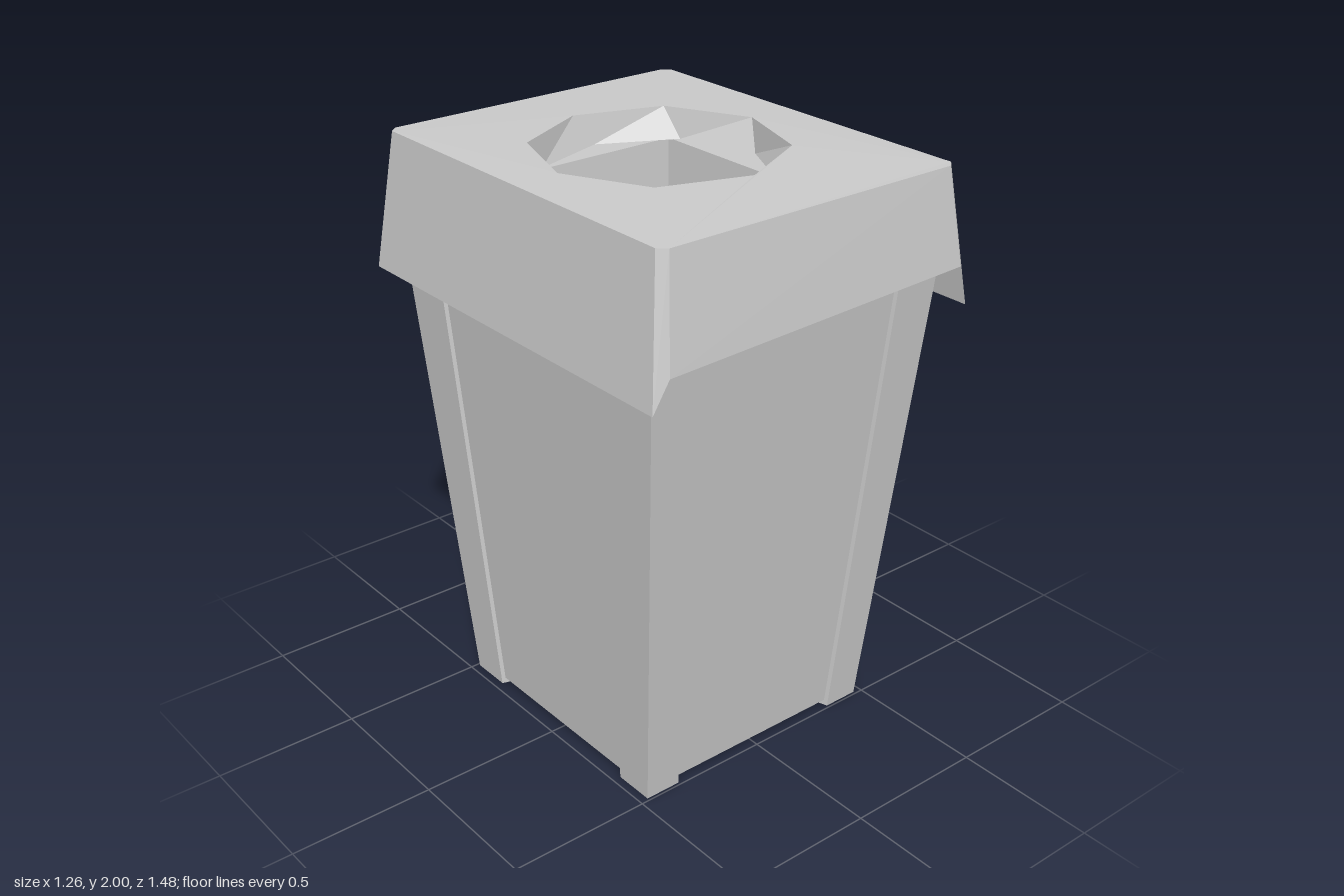
import * as THREE from 'three';

const material = new THREE.MeshStandardMaterial({ color: 0xcccccc, flatShading: true, side: THREE.DoubleSide });

// Skins closed rings of [x, y, z] points; optionally caps the first and last ring with a fan.
function loft(rings, capStart = false, capEnd = false) {
  const out = [];
  const tri = (a, b, c) => out.push(...a, ...b, ...c);
  for (let r = 0; r < rings.length - 1; r++) {
    const a = rings[r], b = rings[r + 1], n = a.length;
    for (let i = 0; i < n; i++) {
      const j = (i + 1) % n;
      tri(a[i], a[j], b[j]);
      tri(a[i], b[j], b[i]);
    }
  }
  const first = rings[0], last = rings[rings.length - 1];
  for (let i = 1; i < first.length - 1; i++) {
    if (capStart) tri(first[0], first[i + 1], first[i]);
    if (capEnd) tri(last[0], last[i], last[i + 1]);
  }
  const geometry = new THREE.BufferGeometry();
  geometry.setAttribute('position', new THREE.Float32BufferAttribute(out, 3));
  geometry.computeVertexNormals();
  return geometry;
}

function part(name, geometry) {
  const mesh = new THREE.Mesh(geometry, material);
  mesh.name = name;
  return mesh;
}

const rect = (x, z, y) => [[x, y, z], [x, y, -z], [-x, y, -z], [-x, y, z]];

// L-shaped cross-section of a corner post: outer corner (x, z), strip ends (ex, ez)
function postSection(x, z, ex, ez, y, sx, sz) {
  const t = 0.03, bevel = 0.01;
  const points = [
    [x, z], [x, ez], [x - t, ez - bevel], [x - t, z - t], [ex - bevel, z - t], [ex, z],
  ].map(([px, pz]) => [px * sx, y, pz * sz]);
  return sx * sz > 0 ? points : points.reverse();
}

// Eight-sided opening ring
function octagon(radius, turn, y) {
  return Array.from({ length: 8 }, (_, i) => {
    const a = turn - (i * Math.PI) / 4;
    return [-0.015 + radius * Math.cos(a), y, -0.007 + radius * Math.sin(a)];
  });
}

export function createModel() {
  const group = new THREE.Group();
  const bodyTop = 1.8;

  // Tapered hollow body: floor, outer panels, rim, inner walls, inner floor
  group.add(part('body', loft([
    rect(0.458, 0.478, 0.02),
    rect(0.568, 0.648, bodyTop),
    rect(0.45, 0.53, bodyTop),
    rect(0.327, 0.37, 0.06),
  ], true, true)));

  // Raised corner posts that also form the feet
  for (const sx of [1, -1]) {
    for (const sz of [1, -1]) {
      group.add(part('cornerPost', loft([
        postSection(0.47, 0.49, 0.34, 0.345, 0, sx, sz),
        postSection(0.58, 0.66, 0.41, 0.46, bodyTop, sx, sz),
      ], true, true)));
    }
  }

  // Flared lid skirt with chamfered corners; front and back hems rise to one side
  const halfTurn = (half) => [...half, ...half.map(([x, y, z]) => [-x, y, -z])];
  const edgeY = 1.992;
  const top = halfTurn([
    [0.545, edgeY, 0.69], [0.573, edgeY, 0.665], [0.573, edgeY, -0.665], [0.545, edgeY, -0.69],
  ]);
  const hem = halfTurn([
    [0.575, 1.675, 0.735], [0.628, 1.53, 0.72], [0.628, 1.53, -0.72], [0.585, 1.64, -0.742],
  ]);
  const lid = new THREE.Group();
  lid.name = 'lid';
  lid.add(part('skirt', loft([hem, top])));

  // Lid top with the opening cut out, very slightly raised at the opening
  const rim = octagon(0.41, -0.07, 2);
  const toPlan = ([x, , z]) => new THREE.Vector2(x, -z);
  const plate = new THREE.Shape(top.map(toPlan));
  plate.holes.push(new THREE.Path(rim.map(toPlan)));
  const plateGeometry = new THREE.ShapeGeometry(plate).rotateX(-Math.PI / 2);
  const position = plateGeometry.attributes.position;
  for (let i = 0; i < position.count; i++) {
    const nearRim = Math.hypot(position.getX(i), position.getZ(i)) < 0.5;
    position.setY(i, nearRim ? 2 : edgeY);
  }
  plateGeometry.computeVertexNormals();
  lid.add(part('lidTop', plateGeometry));

  // Short twisted collar going down into the opening
  lid.add(part('openingCollar', loft([rim, octagon(0.375, 0.08, 1.9)])));
  group.add(lid);

  return group;
}
